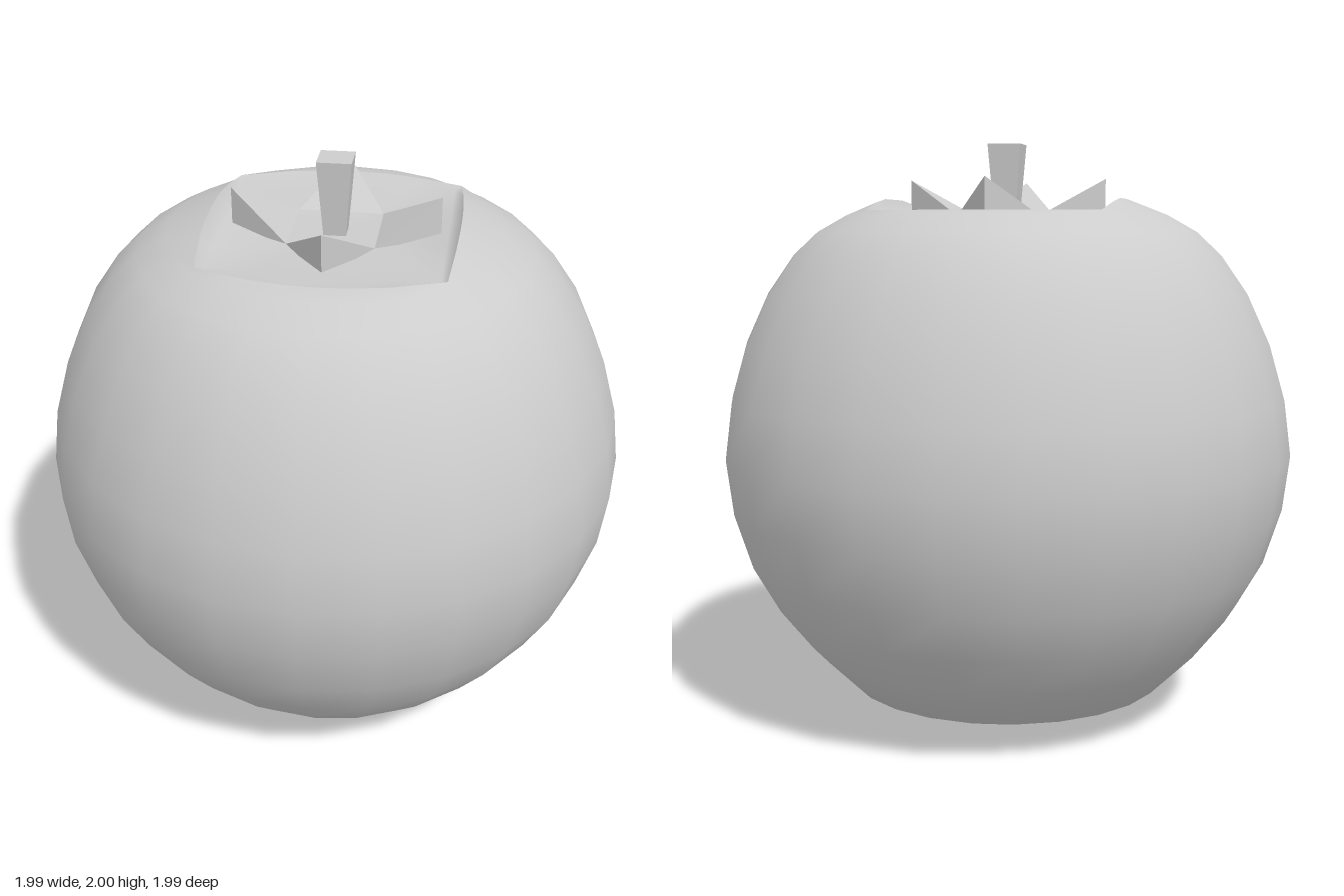
import * as THREE from 'three';

const SIDES = 24;

// Skin a list of closed cross-sections; ring(t) gives a point for each angle
function skin(rings) {
  const pos = [], index = [];
  rings.forEach((ring, j) => {
    for (let i = 0; i < SIDES; i++) {
      pos.push(...ring((i / SIDES) * Math.PI * 2));
      if (j === rings.length - 1) continue;
      const n = (i + 1) % SIDES;
      const a = j * SIDES + i, b = j * SIDES + n;
      index.push(a, b, b + SIDES, a, b + SIDES, a + SIDES);
    }
  });
  const g = new THREE.BufferGeometry();
  g.setAttribute('position', new THREE.Float32BufferAttribute(pos, 3));
  g.setIndex(index);
  g.computeVertexNormals();
  return g;
}

const circle = (r, y) => (t) => [r * Math.sin(t), y, r * Math.cos(t)];

// Rounded square rim, raised into a ridge along the left and right edges
function rim(t) {
  const s = Math.sin(t), c = Math.cos(t), h = 0.39;
  const k = h / Math.max(Math.abs(s), Math.abs(c));
  const x = k * s, z = k * c;
  if (Math.abs(s) > Math.abs(c) + 1e-6) {
    const bulge = 1 - (z / h) ** 2;
    const lift = Math.min(1, (h - Math.abs(z)) / 0.24);
    return [x + Math.sign(x) * 0.022 * bulge, 1.77 + 0.043 * lift, z];
  }
  return [x, 1.77, z + Math.sign(z) * 0.09 * (1 - (x / h) ** 2)];
}

// Square outline of the hollow around the stem
const square = (h, y) => (t) => {
  const s = Math.sin(t), c = Math.cos(t);
  const k = h / Math.max(Math.abs(s), Math.abs(c));
  return [k * s, y, k * c];
};

export function createModel() {
  const group = new THREE.Group();
  const grey = new THREE.MeshStandardMaterial({ color: 0xcccccc });
  grey.name = 'light grey';
  const add = (name, geometry) => {
    const mesh = new THREE.Mesh(geometry, grey);
    mesh.name = name;
    group.add(mesh);
    return mesh;
  };

  // Round fruit body, slightly flattened below
  const profile = [
    [0, 0], [0.19, 0.003], [0.38, 0.042], [0.56, 0.11], [0.71, 0.26], [0.82, 0.4],
    [0.91, 0.56], [0.97, 0.75], [0.993, 0.94], [0.968, 1.13], [0.913, 1.32],
    [0.835, 1.49], [0.745, 1.62], [0.66, 1.7], [0.56, 1.757],
  ];
  add('fruitBody', skin([...profile.map(([r, y]) => circle(r, y)), rim]));

  // Shallow hollow in the top
  add('topHollow', skin([rim, square(0.37, 1.758), square(0.15, 1.746), square(0, 1.745)]));

  // Four upturned leaves in a star
  const A = [-0.143, 1.755, 0.143], B = [0.143, 1.755, 0.143];
  const tip = [0, 1.88, 0.346], under = [0, 1.74, 0.346];
  const leaf = new THREE.BufferGeometry();
  leaf.setAttribute('position', new THREE.Float32BufferAttribute(
    [A, tip, B, A, under, tip, under, B, tip, A, B, under].flat(), 3));
  leaf.computeVertexNormals();
  for (let i = 0; i < 4; i++) add('leaf' + (i + 1), leaf).rotation.y = (i * Math.PI) / 2;

  // Square stem, wider at the top
  const stem = new THREE.CylinderGeometry(0.057 * Math.SQRT2, 0.036 * Math.SQRT2, 0.27, 4)
    .rotateY(Math.PI / 4).translate(0, 1.865, 0).toNonIndexed();
  stem.computeVertexNormals();
  add('stem', stem);

  return group;
}
